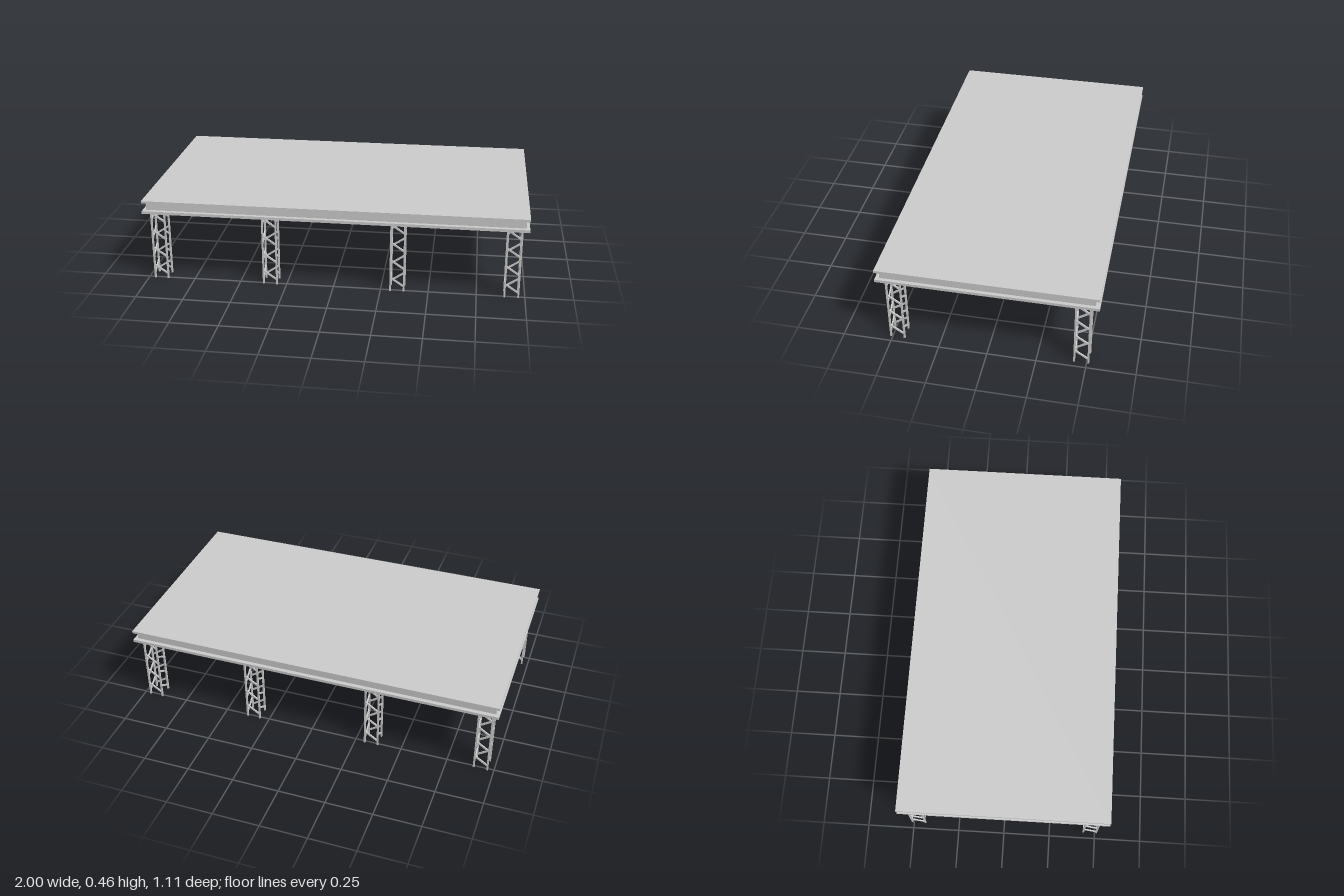
import * as THREE from 'three';

const material = new THREE.MeshStandardMaterial({ color: 0xcccccc, flatShading: true });

function box(name, w, h, d, x, y, z) {
  const mesh = new THREE.Mesh(new THREE.BoxGeometry(w, h, d), material);
  mesh.name = name;
  mesh.position.set(x, y, z);
  return mesh;
}

// Square lattice leg: four posts, one rising brace per side at each level
function createTower() {
  const tower = new THREE.Group();
  tower.name = 'latticeLeg';
  const height = 0.386, half = 0.0355, post = 0.009, rise = 0.048;
  const span = half * 2;
  for (let side = 0; side < 4; side++) {
    const face = new THREE.Group();
    face.name = 'legSide';
    face.rotation.y = side * Math.PI / 2;
    face.add(box('post', post, height, post, half, height / 2, half));
    for (const y of [0.051, 0.151, 0.251, 0.351]) {
      const brace = box('brace', Math.hypot(span, rise), 0.009, 0.007, 0, y, half);
      brace.rotation.z = -Math.atan2(rise, span);
      face.add(brace);
    }
    tower.add(face);
  }
  return tower;
}

export function createModel() {
  const model = new THREE.Group();
  model.name = 'stagePlatform';

  // Deck: two flanges around a recessed core
  model.add(box('lowerFlange', 2, 0.015, 1.108, 0, 0.3925, 0));
  model.add(box('deckCore', 1.964, 0.044, 1.066, 0, 0.4215, 0));
  model.add(box('deckTop', 2, 0.013, 1.108, 0, 0.4495, 0));

  // Two rows of four legs
  for (const x of [-0.93, -0.337, 0.337, 0.93]) {
    for (const z of [-0.473, 0.473]) {
      const tower = createTower();
      tower.position.set(x, 0, z);
      model.add(tower);
    }
  }
  return model;
}
